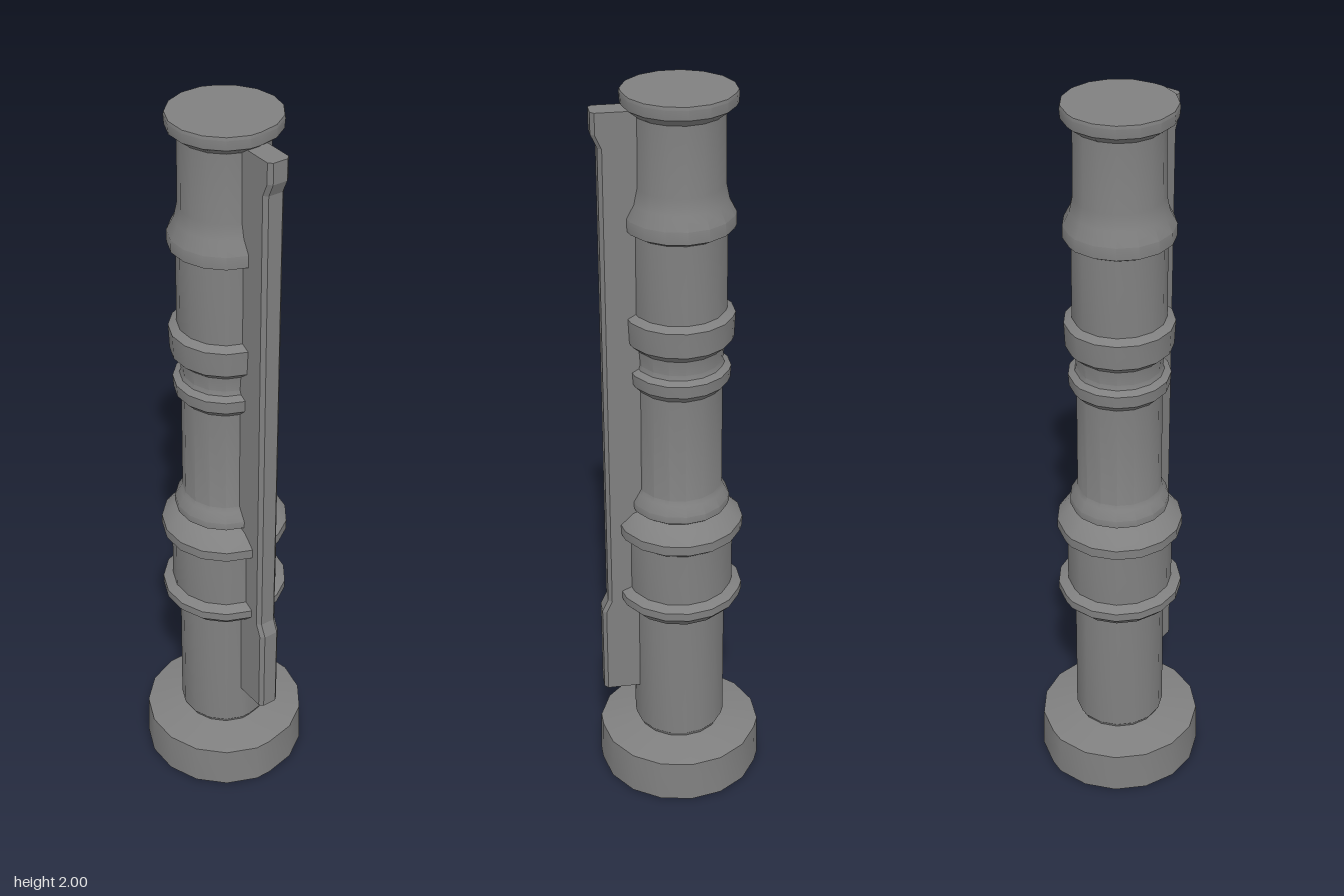
import * as THREE from 'three';
import { toCreasedNormals } from 'three/addons/utils/BufferGeometryUtils.js';

const material = new THREE.MeshStandardMaterial({ color: 0x808080 });

// Side directions [degrees, radius factor]: the back half has its corners on the
// circle, the front half is turned half a step with its flats on the circle
const sides = [];
for (let a = 0; a < 160; a += 22.5) sides.push([a, 1]);
for (let a = 168.75; a < 360; a += 22.5) sides.push([a, 1 / Math.cos(Math.PI / 16)]);
sides.push([360, 1]);

// Revolve a [radius, height] profile (bottom to top) through the side directions
function turned(name, profile) {
  const points = profile.map(([r, y]) => new THREE.Vector2(r, y));
  const geo = new THREE.LatheGeometry(points, sides.length - 1);
  const pos = geo.attributes.position;
  for (let i = 0; i < pos.count; i++) {
    const [degrees, factor] = sides[Math.floor(i / points.length)];
    const a = THREE.MathUtils.degToRad(degrees);
    const r = points[i % points.length].x * factor;
    pos.setX(i, r * Math.cos(a));
    pos.setZ(i, -r * Math.sin(a));
  }
  const mesh = new THREE.Mesh(toCreasedNormals(geo, 0.5), material);
  mesh.name = name;
  return mesh;
}

// Upright bar with chamfered outer edges; levels are [height, outer x]
function uprightBar(name, inner, halfWidth, chamfer, levels) {
  const section = new THREE.Shape([
    [0, -halfWidth], [1 - chamfer, -halfWidth], [1, chamfer - halfWidth],
    [1, halfWidth - chamfer], [1 - chamfer, halfWidth], [0, halfWidth],
  ].map(([x, y]) => new THREE.Vector2(x, y)));
  const steps = levels.length - 1;
  const geo = new THREE.ExtrudeGeometry(section, { depth: 1, steps, bevelEnabled: false });
  geo.rotateX(-Math.PI / 2);
  const pos = geo.attributes.position;
  for (let i = 0; i < pos.count; i++) {
    const [height, outer] = levels[Math.round(pos.getY(i) * steps)];
    const x = pos.getX(i);
    pos.setX(i, x < 0.5 ? inner : outer - 1 + x);
    pos.setY(i, height);
  }
  geo.computeVertexNormals();
  const mesh = new THREE.Mesh(geo, material);
  mesh.name = name;
  return mesh;
}

export function createModel() {
  const model = new THREE.Group();
  model.name = 'ringedColumn';

  // Hollow foot, open underneath
  model.add(turned('foot', [
    [0, 0.125], [0.095, 0.125], [0.1, 0.115], [0.21, 0.1], [0.218, 0],
    [0.224, 0], [0.221, 0.121], [0.13, 0.14], [0.115, 0.142],
  ]));

  // Lower shaft with the wide grip between two collars
  model.add(turned('lowerShaft', [
    [0.115, 0.14], [0.118, 0.148], [0.123, 0.155], [0.122, 0.535],
    [0.14, 0.545], [0.168, 0.575], [0.168, 0.598], [0.142, 0.61],
    [0.141, 0.765], [0.168, 0.785], [0.168, 0.812], [0.135, 0.845], [0.118, 0.852],
  ]));

  // Middle shaft with a small ring at each end
  model.add(turned('middleShaft', [
    [0.118, 0.852], [0.132, 0.862], [0.132, 0.882], [0.118, 0.908], [0.112, 0.92],
    [0.111, 1.215], [0.13, 1.235], [0.132, 1.268], [0.115, 1.278],
    [0.111, 1.29], [0.114, 1.33],
  ]));

  // Upper shaft, neck and end cap
  model.add(turned('upperShaft', [
    [0.114, 1.33], [0.138, 1.352], [0.141, 1.42], [0.12, 1.432],
    [0.119, 1.645], [0.14, 1.657], [0.14, 1.69], [0.122, 1.725], [0.114, 1.765],
    [0.112, 1.945], [0.14, 1.967], [0.142, 1.992], [0.14, 2], [0, 2],
  ]));

  // Long side bar, thicker at both ends
  model.add(uprightBar('sideBar', 0.1, 0.03, 0.01, [
    [0.272, 0.217], [0.53, 0.217], [0.565, 0.201],
    [1.87, 0.201], [1.905, 0.217], [1.96, 0.217],
  ]));

  return model;
}
